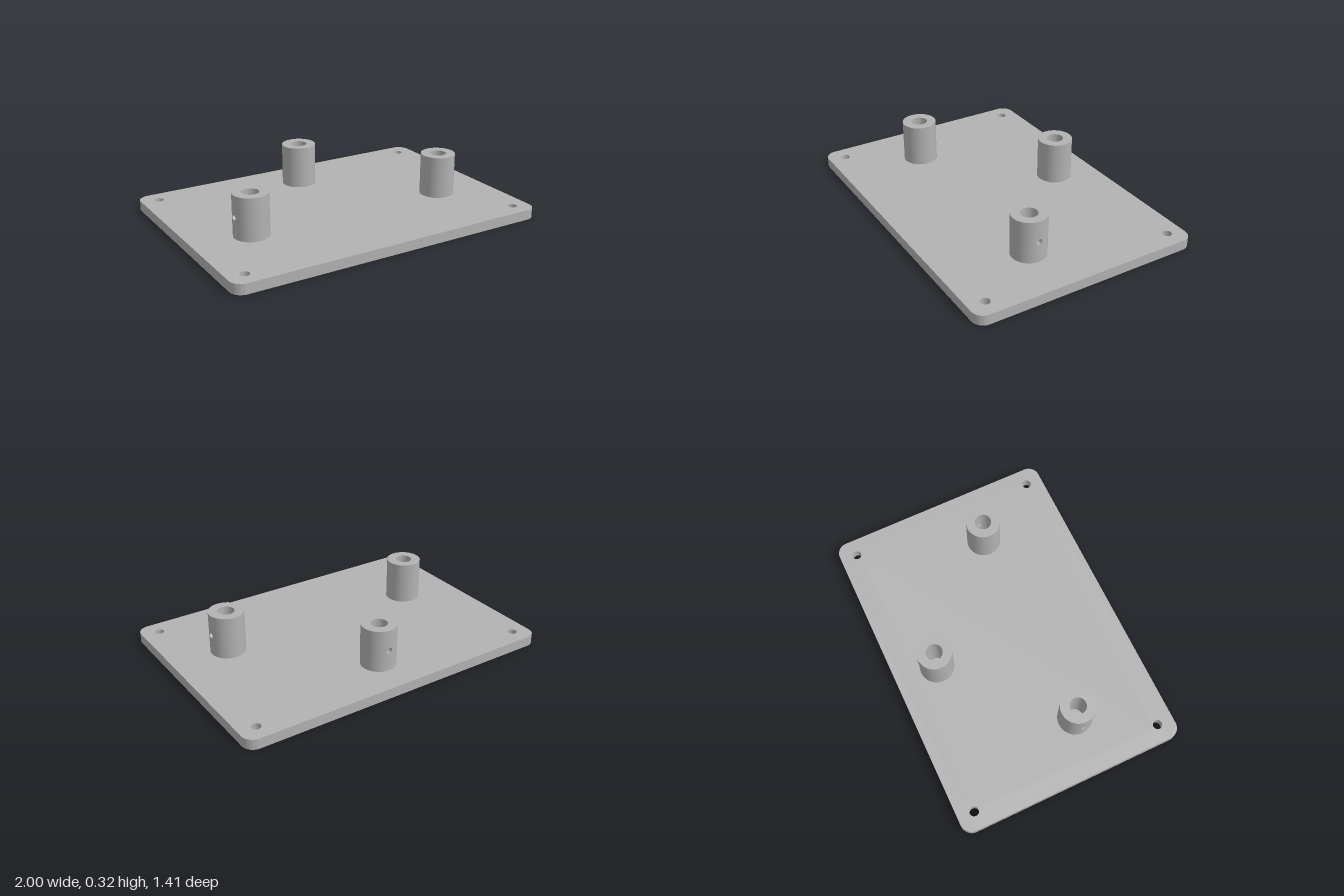
import * as THREE from 'three';
import { toCreasedNormals, mergeGeometries } from 'three/addons/utils/BufferGeometryUtils.js';

const PLATE_W = 1, PLATE_D = 0.703, PLATE_H = 0.062, CORNER = 0.07;
const TOP = 0.32, R_OUT = 0.105, R_IN = 0.05;
const HOLE_Y = 0.19, HOLE_R = 0.018, PATCH = 0.034;

// Bends a unit grid by a rule (u, v) -> [x, y, z]; flip turns the faces over
function surface(rule, nu, nv, flip) {
  const geo = new THREE.PlaneGeometry(1, 1, nu, nv);
  const { position, uv } = geo.attributes;
  for (let i = 0; i < position.count; i++) {
    const u = flip ? 1 - uv.getX(i) : uv.getX(i);
    position.setXYZ(i, ...rule(u, uv.getY(i)));
  }
  geo.computeVertexNormals();
  return geo;
}

// Upright round wall with a small round hole through it on the +x side
function piercedWall(r, inward) {
  const a = Math.asin(PATCH / r);
  const arc = (t0, t1, y0, y1, n) => surface((u, v) => {
    const t = t0 + (t1 - t0) * u;
    return [r * Math.cos(t), y0 + (y1 - y0) * v, -r * Math.sin(t)];
  }, n, 1, inward);
  // Square patch that opens out from the hole's rim
  const patch = surface((u, v) => {
    const t = u * Math.PI * 2, c = Math.cos(t), s = Math.sin(t);
    const edge = PATCH / Math.max(Math.abs(c), Math.abs(s));
    const d = HOLE_R + (edge - HOLE_R) * v;
    return [Math.sqrt(Math.max(0, r * r - d * d * c * c)), HOLE_Y + d * s, -d * c];
  }, 48, 4, !inward);
  const geo = mergeGeometries([
    arc(a, Math.PI * 2 - a, PLATE_H, TOP, 60),
    arc(-a, a, PLATE_H, HOLE_Y - PATCH, 12),
    arc(-a, a, HOLE_Y + PATCH, TOP, 12),
    patch,
  ]);
  // Exact round normals, so the pieces shade as one wall
  const { position, normal } = geo.attributes, k = (inward ? -1 : 1) / r;
  for (let i = 0; i < position.count; i++) {
    normal.setXYZ(i, position.getX(i) * k, 0, position.getZ(i) * k);
  }
  return geo;
}

// Short cross bore joining the outer wall to the inner one
function crossBore() {
  return surface((u, v) => {
    const t = u * Math.PI * 2, w = HOLE_R * Math.cos(t);
    const x0 = Math.sqrt(R_IN * R_IN - w * w), x1 = Math.sqrt(R_OUT * R_OUT - w * w);
    return [x0 + (x1 - x0) * v, HOLE_Y + HOLE_R * Math.sin(t), -w];
  }, 48, 1, true);
}

function basePlate() {
  const s = new THREE.Shape(), w = PLATE_W - CORNER, d = PLATE_D - CORNER;
  s.absarc(w, d, CORNER, 0, Math.PI / 2);
  s.absarc(-w, d, CORNER, Math.PI / 2, Math.PI);
  s.absarc(-w, -d, CORNER, Math.PI, Math.PI * 1.5);
  s.absarc(w, -d, CORNER, Math.PI * 1.5, Math.PI * 2);
  // Screw holes near the corners
  for (const x of [-0.895, 0.895]) for (const z of [-0.6, 0.6]) {
    s.holes.push(new THREE.Path().absarc(x, z, 0.028, 0, Math.PI * 2, true));
  }
  const geo = new THREE.ExtrudeGeometry(s, { depth: PLATE_H, bevelEnabled: false, curveSegments: 16 });
  geo.rotateX(-Math.PI / 2);
  return toCreasedNormals(geo, 0.6);
}

export function createModel() {
  const model = new THREE.Group();
  model.name = 'mountingPlate';
  const grey = new THREE.MeshStandardMaterial({ color: 0xb2b2b2 });
  grey.name = 'grey';
  const add = (parent, name, geo) => {
    const mesh = new THREE.Mesh(geo, grey);
    mesh.name = name;
    parent.add(mesh);
  };

  add(model, 'basePlate', basePlate());

  const rim = new THREE.RingGeometry(R_IN, R_OUT, 64).rotateX(-Math.PI / 2).translate(0, TOP, 0);
  const parts = {
    outerWall: piercedWall(R_OUT, false),
    boreWall: piercedWall(R_IN, true),
    topRim: rim,
    setScrewHole: crossBore(),
  };

  // Three hollow posts, each with its side hole facing outward
  const posts = [
    ['leftPost', 0.645, 0.175, 0],
    ['rightPost', -0.645, 0.175, Math.PI],
    ['backPost', 0, -0.437, Math.PI / 2],
  ];
  for (const [name, x, z, turn] of posts) {
    const post = new THREE.Group();
    post.name = name;
    post.position.set(x, 0, z);
    post.rotation.y = turn;
    for (const part in parts) add(post, part, parts[part]);
    model.add(post);
  }
  return model;
}
